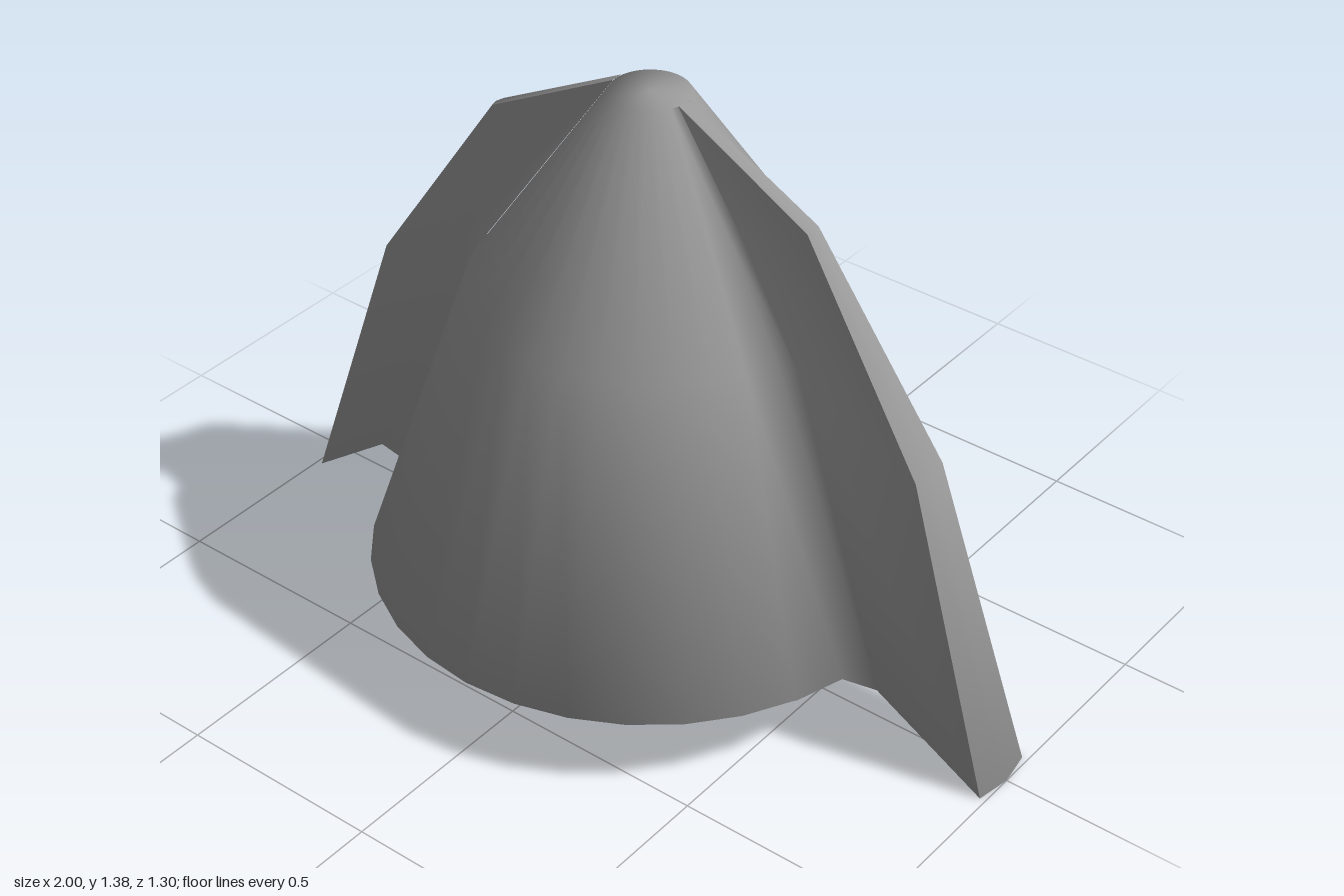
import * as THREE from 'three';

const STEP = Math.PI / 16;
const RIM_TILT = -0.12; // lower rim normals lean slightly down, rounding the edge softly

// Levels from top to bottom: body radius and height, upward lean of the body normal,
// fin root [x, y, half width] and fin outer edge [x, y, half width, bulge]
const LEVELS = [
  { r: 0.09, y: 1.385, lean: 0.65, root: [0.0895, 1.385, 0.017], edge: [0.09, 1.385, 0.015, 0] },
  { r: 0.25, y: 1.148, lean: 0.55, root: [0.28, 1.15, 0.044], edge: [0.43, 1.205, 0.02, 0.005] },
  { r: 0.41, y: 0.91, lean: 0.42, root: [0.46, 0.9, 0.077], edge: [0.75, 0.725, 0.05, 0.01] },
  { r: 0.65, y: 0.185, lean: RIM_TILT, root: [0.73, 0.2, 0.125], edge: [0.986, 0, 0.085, 0.014] },
];

// Sets how far normal i leans up or down, keeping its heading
function lean(normals, i, y) {
  const x = normals.getX(i), z = normals.getZ(i);
  const k = Math.sqrt(1 - y * y) / Math.hypot(x, z);
  normals.setXYZ(i, x * k, y, z * k);
}

// Smooth surface through rows of points
function gridGeometry(rows) {
  const cols = rows[0].length;
  const index = [];
  for (let i = 0; i < rows.length - 1; i++) {
    for (let j = 0; j < cols - 1; j++) {
      const a = i * cols + j, b = a + cols;
      index.push(a, b, b + 1, a, b + 1, a + 1);
    }
  }
  const g = new THREE.BufferGeometry();
  g.setAttribute('position', new THREE.Float32BufferAttribute(rows.flat(2), 3));
  g.setIndex(index);
  g.computeVertexNormals();
  return g;
}

// Soft lower edge for a fin surface
function softenBottom(g, cols) {
  const n = g.attributes.normal;
  for (let i = n.count - cols; i < n.count; i++) lean(n, i, RIM_TILT);
  return g;
}

const onBody = ({ r, y }, steps, s) =>
  [1.003 * r * Math.cos(steps * STEP), y, s * 1.003 * r * Math.sin(steps * STEP)];
const onFin = ([x, y, w], s) => [x, y, s * w];

// Side of the fin, flowing out of the body; s = 1 for +z, -1 for -z
function finSide(s) {
  const rows = LEVELS.map((l) => {
    const row = [onBody(l, 2, s), onBody(l, 1, s), onFin(l.root, s), onFin(l.edge, s)];
    return s > 0 ? row : row.reverse();
  });
  const g = softenBottom(gridGeometry(rows), 4);
  // Match the body's own normals along the join
  LEVELS.forEach((l, i) => {
    const k = i * 4 + (s > 0 ? 0 : 3);
    g.attributes.normal.setXYZ(k, Math.cos(2 * STEP), 0, s * Math.sin(2 * STEP));
    lean(g.attributes.normal, k, l.lean);
  });
  return g;
}

// Slightly bulged strip along the outer edge of the fin
function finEdge() {
  return softenBottom(gridGeometry(LEVELS.map(({ edge }) =>
    [onFin(edge, 1), [edge[0] + edge[3], edge[1], 0], onFin(edge, -1)])), 3);
}

// Underside of the fin, from the tip back to the body
function finUnderside() {
  const l = LEVELS[3];
  return gridGeometry([
    [onFin(l.edge, 1), [l.edge[0] + l.edge[3], 0, 0], onFin(l.edge, -1)],
    [onFin(l.root, 1), onFin(l.root, 0), onFin(l.root, -1)],
    [onBody(l, 1, 1), onBody(l, 1, 0), onBody(l, 1, -1)],
  ]);
}

export function createModel() {
  const group = new THREE.Group();
  const material = new THREE.MeshStandardMaterial({ color: 0x999999 });
  const add = (parent, name, geometry) => {
    const mesh = new THREE.Mesh(geometry, material);
    mesh.name = name;
    parent.add(mesh);
  };

  // Bell-shaped body, smooth over its closed base and small top
  const profile = [[0, 0.185], [0.65, 0.185], [0.41, 0.91], [0.09, 1.385], [0, 1.385]]
    .map(([r, y]) => new THREE.Vector2(r, y));
  const body = new THREE.LatheGeometry(profile, 32);
  const normals = body.attributes.normal;
  for (let i = 1; i < normals.count; i += profile.length) lean(normals, i, RIM_TILT);
  body.normalizeNormals();
  add(group, 'body', body);

  // Two opposite fins reaching below the base
  const parts = {
    finFrontSide: finSide(1),
    finBackSide: finSide(-1),
    finEdge: finEdge(),
    finUnderside: finUnderside(),
  };
  ['leftFin', 'rightFin'].forEach((name, i) => {
    const fin = new THREE.Group();
    fin.name = name;
    fin.rotation.y = i * Math.PI;
    for (const part in parts) add(fin, part, parts[part]);
    group.add(fin);
  });
  return group;
}
